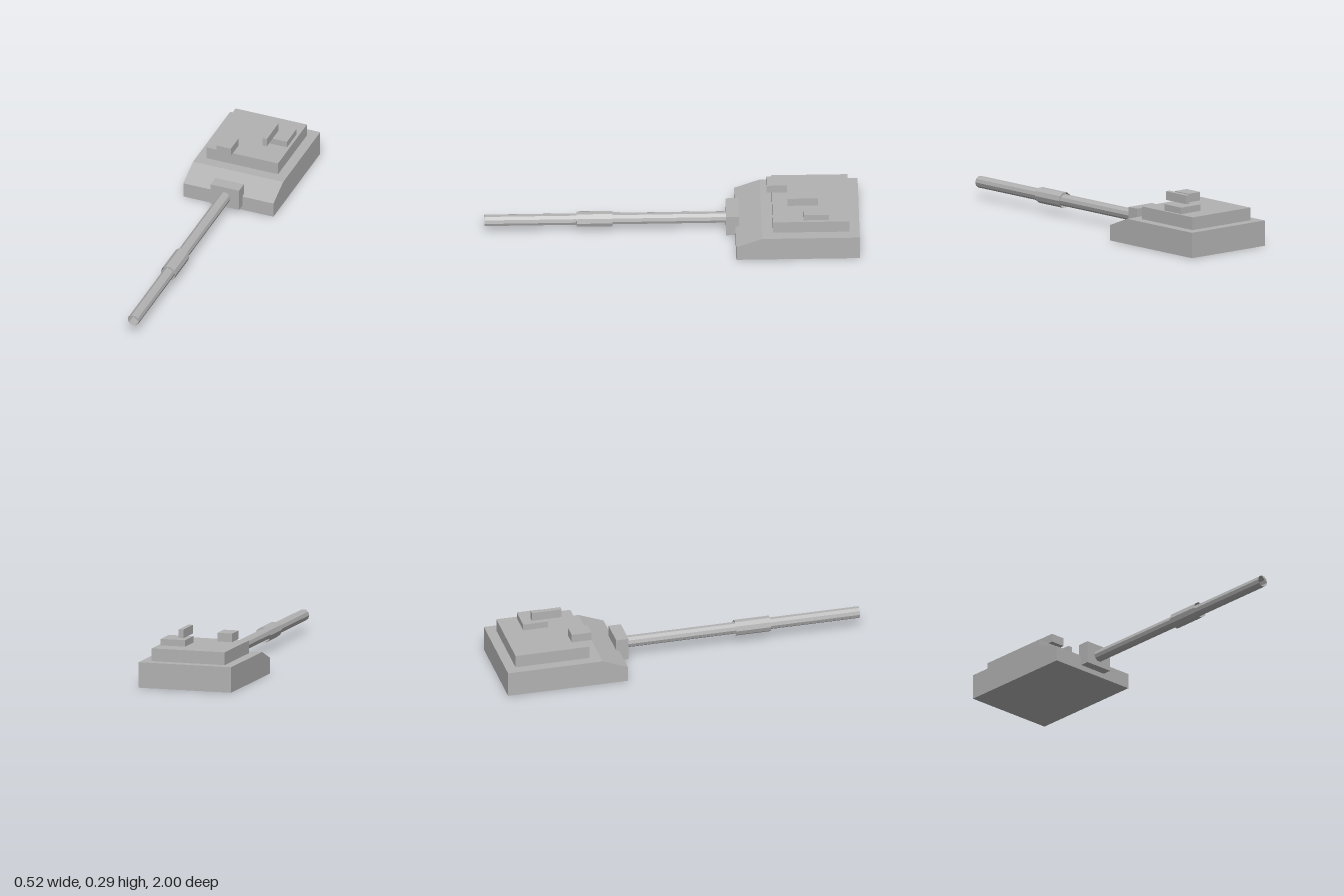
import * as THREE from 'three';

export function createModel() {
  const model = new THREE.Group();
  model.name = 'turret';
  const grey = new THREE.MeshStandardMaterial({ color: 0xb2b2b2, side: THREE.DoubleSide, flatShading: true });
  grey.name = 'grey';

  const add = (name, geometry, parent = model) => {
    const mesh = new THREE.Mesh(geometry, grey);
    mesh.name = name;
    parent.add(mesh);
    return mesh;
  };

  // Box given by its limits on each axis
  const block = (name, [x0, x1], [y0, y1], [z0, z1]) => {
    const mesh = add(name, new THREE.BoxGeometry(x1 - x0, y1 - y0, z1 - z0));
    mesh.position.set((x0 + x1) / 2, (y0 + y1) / 2, (z0 + z1) / 2);
  };

  // Main body: side profile with a sloped front, extruded across x
  const profile = new THREE.Shape([
    [0.34, 0], [1, 0], [1, 0.138], [0.478, 0.138], [0.34, 0.084],
  ].map(([z, y]) => new THREE.Vector2(z, y)));
  const body = new THREE.ExtrudeGeometry(profile, { depth: 0.52, bevelEnabled: false });
  body.translate(0, 0, -0.26).rotateY(Math.PI / 2);
  add('body', body);

  // Roof and its fittings
  block('roof', [-0.206, 0.206], [0.138, 0.207], [-0.945, -0.537]);
  block('sight', [-0.138, -0.055], [0.207, 0.253], [-0.618, -0.509]);
  block('hatch', [0.053, 0.191], [0.207, 0.242], [-0.836, -0.7]);
  block('roofGun', [0.082, 0.108], [0.242, 0.289], [-0.781, -0.618]);
  block('mantlet', [-0.082, 0.082], [0.029, 0.152], [-0.358, -0.29]);

  // Ten-sided hollow tube along z, with a partial lip across each end
  const tube = (name, radius, z0, z1) => {
    const group = new THREE.Group();
    group.name = name;
    group.position.y = 0.09;
    const wall = new THREE.CylinderGeometry(radius, radius, z1 - z0, 10, 1, true, Math.PI / 2);
    wall.rotateX(Math.PI / 2).translate(0, 0, (z0 + z1) / 2);
    add(name + 'Wall', wall, group);
    const corners = [0, 1, 2, 3].map((i) => {
      const a = (i * Math.PI) / 5;
      return new THREE.Vector2(radius * Math.cos(a), radius * Math.sin(a));
    });
    for (const z of [z0, z1]) {
      add(name + 'Lip', new THREE.ShapeGeometry(new THREE.Shape(corners)), group).position.z = z;
    }
    model.add(group);
  };
  tube('barrel', 0.032, -0.29, 1);
  tube('barrelSleeve', 0.043, 0.315, 0.507);

  return model;
}
